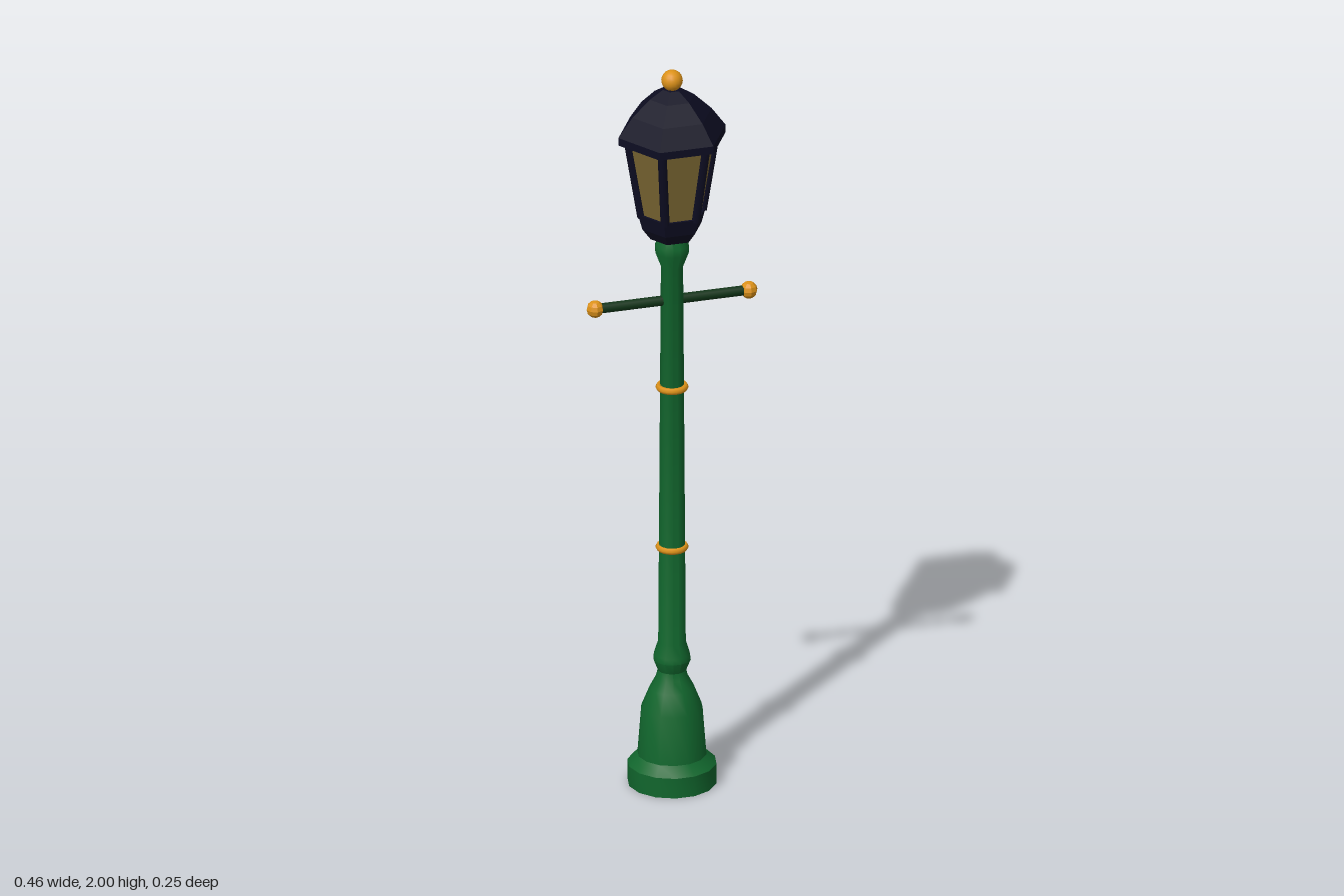
import * as THREE from 'three';
import { toCreasedNormals } from 'three/addons/utils/BufferGeometryUtils.js';

const material = (name, color) => {
  const m = new THREE.MeshStandardMaterial({ color });
  m.name = name;
  return m;
};

export function createModel() {
  const group = new THREE.Group();
  const green = material('green paint', 0x11662d);
  const darkGreen = material('dark green paint', 0x0f3316);
  const navy = material('navy iron', 0x0d0d22);
  const brass = material('brass', 0xdd9219);
  const glass = material('amber glass', 0x7a6632);

  const add = (name, geometry, mat, x = 0, y = 0, z = 0) => {
    const mesh = new THREE.Mesh(geometry, mat);
    mesh.name = name;
    mesh.position.set(x, y, z);
    group.add(mesh);
    return mesh;
  };

  // Turned solid with corners on the x axis
  const turned = (profile, sides, crease) => {
    const points = profile.map(([r, y]) => new THREE.Vector2(r, y));
    const g = new THREE.LatheGeometry(points, sides);
    g.rotateY(Math.PI / 2);
    return toCreasedNormals(g, crease);
  };

  // Post: stepped foot, bell, collar, tapering shaft and neck
  add('post', turned([
    [0, 0], [0.116, 0], [0.116, 0.055], [0.09, 0.08], [0.08, 0.21],
    [0.058, 0.265], [0.042, 0.295], [0.037, 0.315], [0.049, 0.345],
    [0.047, 0.36], [0.036, 0.395], [0.029, 1.45], [0.044, 1.49],
    [0.044, 1.51], [0.032, 1.54], [0, 1.54],
  ], 14, 0.6), green);

  // Brass rings around the shaft
  for (const y of [0.66, 1.11]) {
    const ring = new THREE.TorusGeometry(0.034, 0.009, 6, 20);
    ring.rotateX(Math.PI / 2);
    add('shaftRing', ring, brass, 0, y);
  }

  // Ladder bar with brass end knobs
  const bar = new THREE.CylinderGeometry(0.014, 0.014, 0.4, 8);
  bar.rotateZ(Math.PI / 2);
  add('ladderBar', bar, darkGreen, 0, 1.355);
  for (const side of [-1, 1]) {
    add('barKnob', toCreasedNormals(new THREE.SphereGeometry(0.023, 8, 6), 0.3), brass, side * 0.208, 1.355);
  }

  // Six-sided lantern: cup, panes, corner bars, roof
  add('lanternCup', turned([
    [0, 1.532], [0.058, 1.532], [0.08, 1.562], [0.092, 1.605], [0, 1.605],
  ], 6, 0.1), navy);
  add('lanternPanes', turned([[0.083, 1.6], [0.119, 1.81]], 6, 0.1), glass);

  const up = new THREE.Vector3(0, 1, 0);
  for (let i = 0; i < 6; i++) {
    const a = i * Math.PI / 3;
    const at = (r, y) => new THREE.Vector3(r * Math.cos(a), y, r * Math.sin(a));
    const low = at(0.082, 1.598), high = at(0.118, 1.812);
    const dir = high.clone().sub(low);
    const mid = low.clone().add(high).multiplyScalar(0.5);
    const post = add('cornerBar', new THREE.CylinderGeometry(0.012, 0.012, dir.length(), 6), navy, mid.x, mid.y, mid.z);
    post.quaternion.setFromUnitVectors(up, dir.normalize());
  }

  add('lanternRoof', turned([
    [0, 1.807], [0.145, 1.807], [0.145, 1.828], [0.107, 1.88],
    [0.06, 1.925], [0.024, 1.948], [0, 1.95],
  ], 6, 0.1), navy);

  // Ball finial
  add('finial', new THREE.SphereGeometry(0.028, 16, 12), brass, 0, 1.972);

  return group;
}
